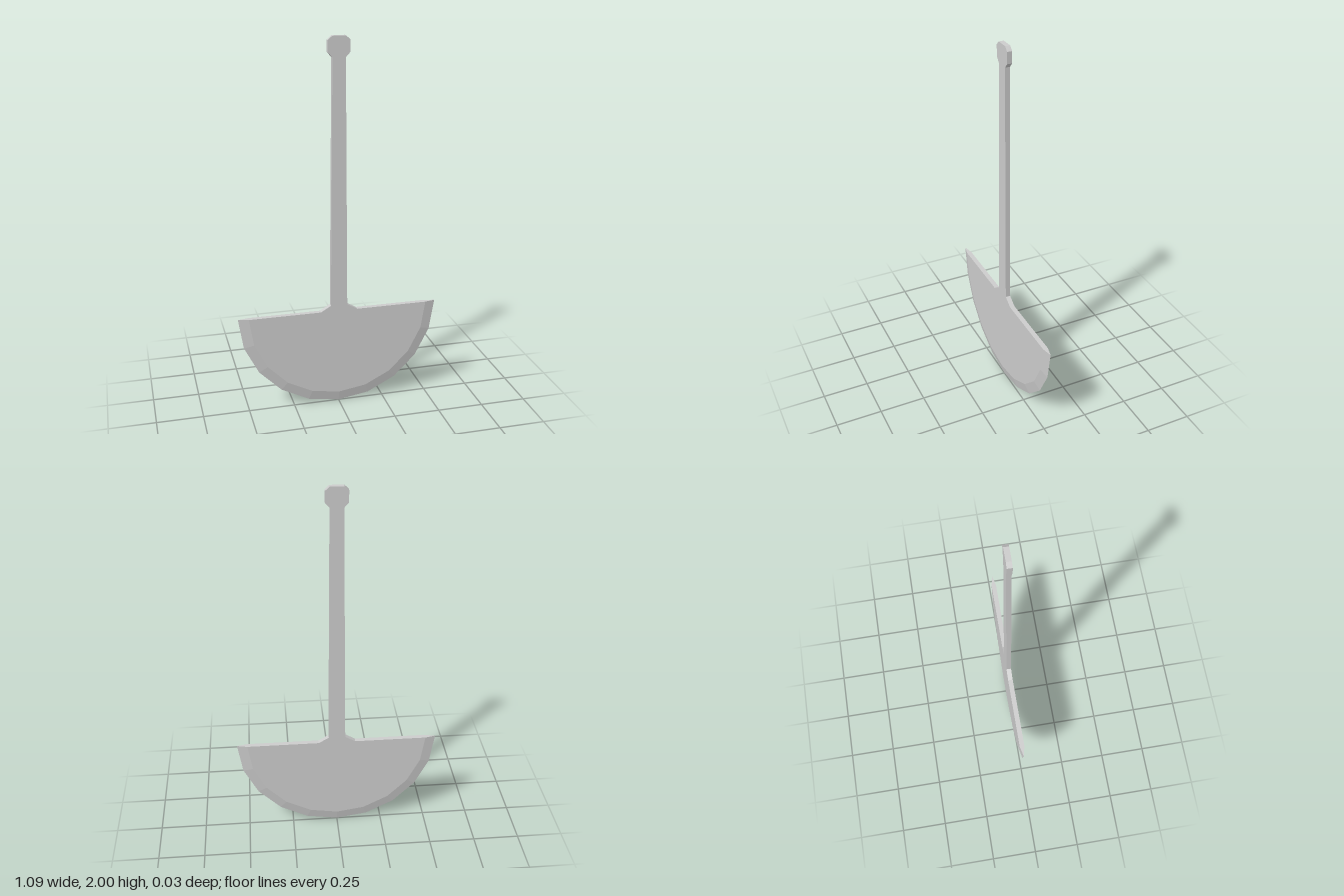
import * as THREE from 'three';

const HALF = 0.013;        // half thickness of the plate
const OUTER = 0.545, INNER = 0.489;
const TOP = OUTER;         // straight upper edge of the blade
const STEPS = 10;

// Half-disc blade: wedge-tipped cross-sections swept around the middle of the top edge
function bladeGeometry() {
  const profile = [[0, HALF], [INNER, HALF], [OUTER, 0], [INNER, -HALF], [0, -HALF]];
  const sections = [];
  for (let i = 0; i <= STEPS; i++) {
    const a = (Math.PI * i) / STEPS;
    sections.push(profile.map(([r, z]) => [r * Math.cos(a), TOP - r * Math.sin(a), z]));
  }
  const pos = [];
  const tri = (a, b, c) => pos.push(...a, ...b, ...c);
  for (let i = 0; i < STEPS; i++) {
    const s = sections[i], n = sections[i + 1];
    for (let j = 0; j < 4; j++) {
      // The first and last strips meet at the centre, so they need one triangle only
      if (j < 3) tri(s[j], n[j + 1], s[j + 1]);
      if (j > 0) tri(s[j], n[j], n[j + 1]);
    }
  }
  // The two end sections form the flat upper edge
  const first = sections[0], last = sections[STEPS];
  for (let j = 1; j < 4; j++) {
    tri(first[0], first[j], first[j + 1]);
    tri(last[0], last[j + 1], last[j]);
  }
  const geo = new THREE.BufferGeometry();
  geo.setAttribute('position', new THREE.Float32BufferAttribute(pos, 3));
  geo.computeVertexNormals();
  return geo;
}

// Flared foot, tapering shaft and faceted knob in one mirrored outline
function handleGeometry() {
  const side = [[0.1, TOP], [0.045, 0.578], [0.034, 1.895], [0.057, 1.92], [0.057, 1.98], [0.035, 2]];
  const mirrored = side.map(([x, y]) => [-x, y]).reverse();
  const shape = new THREE.Shape([...side, ...mirrored].map(([x, y]) => new THREE.Vector2(x, y)));
  const geo = new THREE.ExtrudeGeometry(shape, { depth: 2 * HALF, bevelEnabled: false });
  return geo.translate(0, 0, -HALF);
}

export function createModel() {
  const group = new THREE.Group();
  group.name = 'halfMoonBladeTool';
  const material = new THREE.MeshStandardMaterial({ color: 0xcccccc, flatShading: true });
  const add = (name, geometry) => {
    const mesh = new THREE.Mesh(geometry, material);
    mesh.name = name;
    group.add(mesh);
  };
  add('blade', bladeGeometry());
  add('handle', handleGeometry());
  return group;
}
